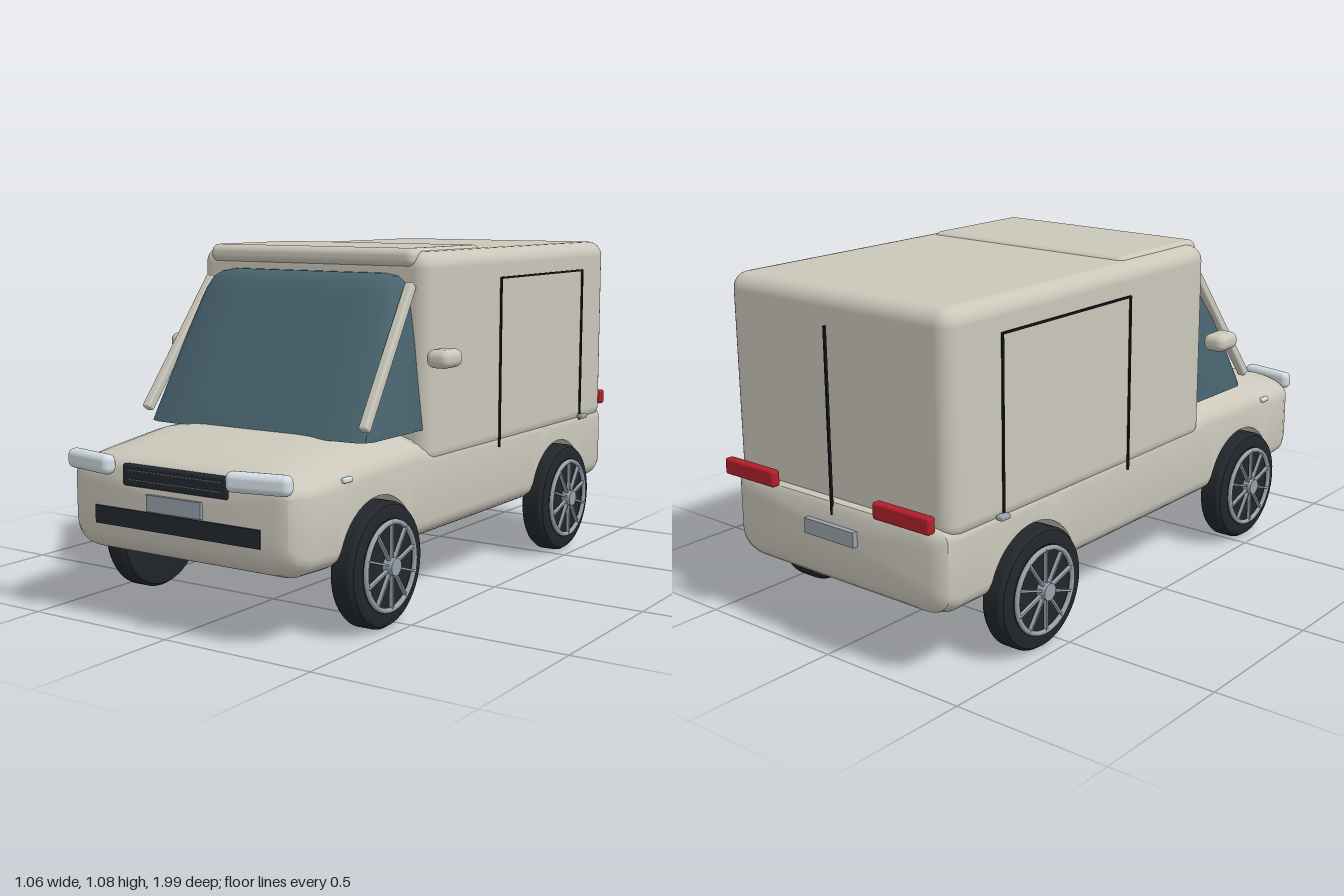
import * as THREE from 'three';
import { toCreasedNormals } from 'three/addons/utils/BufferGeometryUtils.js';
import { RoundedBoxGeometry } from 'three/addons/geometries/RoundedBoxGeometry.js';

const mat = (color) => new THREE.MeshStandardMaterial({ color });
const paint = mat(0xcac7ba), glassMat = mat(0x48636e), dark = mat(0x23282f), seamMat = mat(0x15171a);
const lamp = mat(0xd3dee4), red = mat(0xb01f2a), metal = mat(0x98a2aa), rubber = mat(0x22262b);

const AXLES = [0.565, -0.58], WHEEL_Y = 0.185, ARCH_R = 0.2;

function add(parent, name, geo, material, x = 0, y = 0, z = 0) {
  const mesh = new THREE.Mesh(geo, material);
  mesh.name = name;
  mesh.position.set(x, y, z);
  parent.add(mesh);
  return mesh;
}
const box = (w, h, d) => new THREE.BoxGeometry(w, h, d);
const round = (w, h, d, r) => new RoundedBoxGeometry(w, h, d, 4, r);

// Skin a list of equal-length closed rings and cap both ends
function loft(rings, crease) {
  const n = rings[0].length, pos = rings.flat(2), idx = [];
  for (let i = 0; i < rings.length - 1; i++) {
    for (let j = 0; j < n; j++) {
      const a = i * n + j, b = i * n + (j + 1) % n, c = a + n, d = b + n;
      idx.push(a, c, b, b, c, d);
    }
  }
  for (const [r, flip] of [[0, false], [rings.length - 1, true]]) {
    const centre = pos.length / 3;
    for (let k = 0; k < 3; k++) pos.push(rings[r].reduce((s, p) => s + p[k], 0) / n);
    for (let j = 0; j < n; j++) {
      const a = r * n + j, b = r * n + (j + 1) % n;
      idx.push(centre, flip ? b : a, flip ? a : b);
    }
  }
  const geo = new THREE.BufferGeometry();
  geo.setAttribute('position', new THREE.Float32BufferAttribute(pos, 3));
  geo.setIndex(idx);
  return toCreasedNormals(geo, crease);
}
// Complete half a ring by mirroring it in x
const mirrorRing = (half) => [...half, ...half.filter((p) => p[0] > 1e-6).reverse().map(([x, y, z]) => [-x, y, z])];

// Lower body stations: z, half width, bottom, top, top corner rx, top corner ry
const STATIONS = [
  [0.947, 0.35, 0.255, 0.455, 0.06, 0.04], [0.938, 0.385, 0.232, 0.472, 0.1, 0.05],
  [0.915, 0.405, 0.212, 0.487, 0.15, 0.06], [0.88, 0.418, 0.2, 0.498, 0.2, 0.07],
  [0.8, 0.427, 0.2, 0.515, 0.24, 0.085], [0.62, 0.429, 0.2, 0.543, 0.26, 0.1],
  [0.34, 0.429, 0.2, 0.552, 0.26, 0.1], [0.27, 0.429, 0.2, 0.5, 0.1, 0.06],
  [-0.9, 0.429, 0.2, 0.465, 0.04, 0.04], [-0.935, 0.42, 0.208, 0.462, 0.05, 0.04],
  [-0.952, 0.4, 0.222, 0.455, 0.06, 0.04], [-0.96, 0.37, 0.245, 0.44, 0.06, 0.04],
];

function station(z) {
  const i = Math.max(1, STATIONS.findIndex((s) => s[0] <= z + 1e-9));
  const a = STATIONS[i - 1], b = STATIONS[i], t = (z - a[0]) / (b[0] - a[0]);
  return a.map((v, k) => v + (b[k] - v) * t);
}

// One cross-section with rounded corners, clipped by the wheel arch
function bodyRing(z) {
  const [, w, bottom, top, rx, ry] = station(z);
  const bx = 0.09, by = 0.06;
  let floor = bottom;
  for (const c of AXLES) {
    const d = ARCH_R ** 2 - (z - c) ** 2;
    if (d > 0) floor = Math.max(floor, WHEEL_Y + Math.sqrt(d));
  }
  const half = [[0, floor, z]];
  for (let k = 0; k <= 6; k++) {
    const y = Math.max(floor, bottom + by * (1 - Math.cos(k * Math.PI / 12)));
    const u = Math.max(0, (bottom + by - y) / by);
    half.push([w - bx + bx * Math.sqrt(Math.max(0, 1 - u * u)), y, z]);
  }
  for (let k = 0; k <= 8; k++) {
    const a = k * Math.PI / 16;
    half.push([w - rx + rx * Math.cos(a), top - ry + ry * Math.sin(a), z]);
  }
  half.push([0, top, z]);
  return mirrorRing(half);
}

function lowerBody() {
  const zs = STATIONS.map((s) => s[0]);
  for (const c of AXLES) {
    for (let k = 0; k <= 24; k++) zs.push(c + ARCH_R * Math.cos(k * Math.PI / 24));
  }
  zs.sort((a, b) => b - a);
  return loft(zs.map(bodyRing), 0.6);
}

// Cab glass levels: y, half width, front z
function cabGlass() {
  const levels = [[1.0, 0.29, 0.33], [0.992, 0.33, 0.355], [0.975, 0.35, 0.375], [0.94, 0.365, 0.395],
    [0.8, 0.385, 0.47], [0.56, 0.408, 0.6], [0.535, 0.41, 0.612]];
  return loft(levels.map(([y, w, z]) => mirrorRing([[0, y, z], [w * 0.6, y, z - 0.002], [w * 0.9, y, z - 0.01],
    [w * 0.97, y, z - 0.025], [w, y, z - 0.05], [w, y, 0.25], [0, y, 0.25]])), 0.6);
}

// Wheel with its outer face towards +x, centred on the tyre
function makeWheel() {
  const wheel = new THREE.Group();
  wheel.name = 'wheel';
  const profile = [[0, -0.042], [0.16, -0.042], [0.176, -0.038], [0.185, -0.025], [0.185, 0.025],
    [0.176, 0.038], [0.16, 0.043], [0.137, 0.043], [0.13, 0.036], [0, 0.036]].map(([r, y]) => new THREE.Vector2(r, y));
  const tyre = toCreasedNormals(new THREE.LatheGeometry(profile, 48), 0.6);
  add(wheel, 'tyre', tyre, rubber).rotation.z = -Math.PI / 2;
  add(wheel, 'rim', new THREE.TorusGeometry(0.128, 0.008, 8, 48), metal, 0.048).rotation.y = Math.PI / 2;
  add(wheel, 'hub', new THREE.CylinderGeometry(0.026, 0.026, 0.034, 24), metal, 0.05).rotation.z = Math.PI / 2;
  for (let k = 0; k < 10; k++) {
    const a = k * Math.PI / 5;
    const spoke = add(wheel, 'spoke', box(0.012, 0.11, 0.006), metal, 0.05, 0.075 * Math.cos(a), 0.075 * Math.sin(a));
    spoke.rotation.x = a;
  }
  return wheel;
}

export function createModel() {
  const van = new THREE.Group();
  van.name = 'van';

  // Shell
  add(van, 'lowerBody', lowerBody(), paint);
  add(van, 'cargoBox', round(0.864, 0.645, 1.24, 0.05), paint, 0, 0.7425, -0.315);
  add(van, 'roofCap', round(0.77, 0.056, 0.42, 0.024), paint, 0, 1.047, 0.108);
  add(van, 'cabGlass', cabGlass(), glassMat);

  // Front and rear centre fittings
  add(van, 'grille', round(0.384, 0.064, 0.022, 0.008), dark, 0, 0.442, 0.942);
  for (const y of [0.43, 0.457]) add(van, 'grilleSlat', box(0.34, 0.003, 0.004), metal, 0, y, 0.954);
  add(van, 'lowerIntake', box(0.6, 0.053, 0.02), dark, 0, 0.315, 0.942);
  add(van, 'frontPlate', box(0.198, 0.048, 0.016), metal, 0, 0.37, 0.949);
  add(van, 'rearPlate', box(0.198, 0.046, 0.02), metal, 0, 0.37, -0.967);
  add(van, 'rearDoorSeam', box(0.006, 0.55, 0.008), seamMat, 0, 0.695, -0.959);

  for (const s of [1, -1]) {
    // Lamps
    add(van, 'headlight', round(0.195, 0.058, 0.045, 0.02), lamp, s * 0.305, 0.47, 0.957).rotation.y = s * 0.19;
    add(van, 'tailLight', round(0.21, 0.05, 0.03, 0.008), red, s * 0.305, 0.49, -0.985);
    add(van, 'sideMarker', round(0.016, 0.016, 0.042, 0.006), lamp, s * 0.426, 0.455, 0.72);

    // Windscreen pillar
    const foot = new THREE.Vector3(s * 0.405, 0.572, 0.605), head = new THREE.Vector3(s * 0.378, 0.97, 0.315);
    const pillar = add(van, 'windscreenPillar', round(0.03, foot.distanceTo(head), 0.03, 0.008), paint);
    pillar.position.copy(foot).lerp(head, 0.5);
    pillar.quaternion.setFromUnitVectors(new THREE.Vector3(0, 1, 0), head.clone().sub(foot).normalize());

    // Mirror with its arm
    add(van, 'mirror', round(0.078, 0.055, 0.105, 0.024), paint, s * 0.49, 0.757, 0.307);

    // Side door seams and handle
    const x = s * 0.44;
    add(van, 'doorSeamFront', box(0.006, 0.545, 0.006), seamMat, x, 0.698, -0.13);
    add(van, 'doorSeamRear', box(0.006, 0.53, 0.006), seamMat, x, 0.705, -0.725);
    add(van, 'doorSeamTop', box(0.006, 0.006, 0.6), seamMat, x, 0.97, -0.4275);
    add(van, 'doorHandle', round(0.026, 0.016, 0.04, 0.006), metal, s * 0.446, 0.452, -0.735);

    // Wheels
    for (const z of AXLES) {
      const wheel = makeWheel();
      wheel.position.set(s * 0.423, WHEEL_Y, z);
      if (s < 0) wheel.rotation.y = Math.PI;
      van.add(wheel);
    }
  }
  return van;
}
